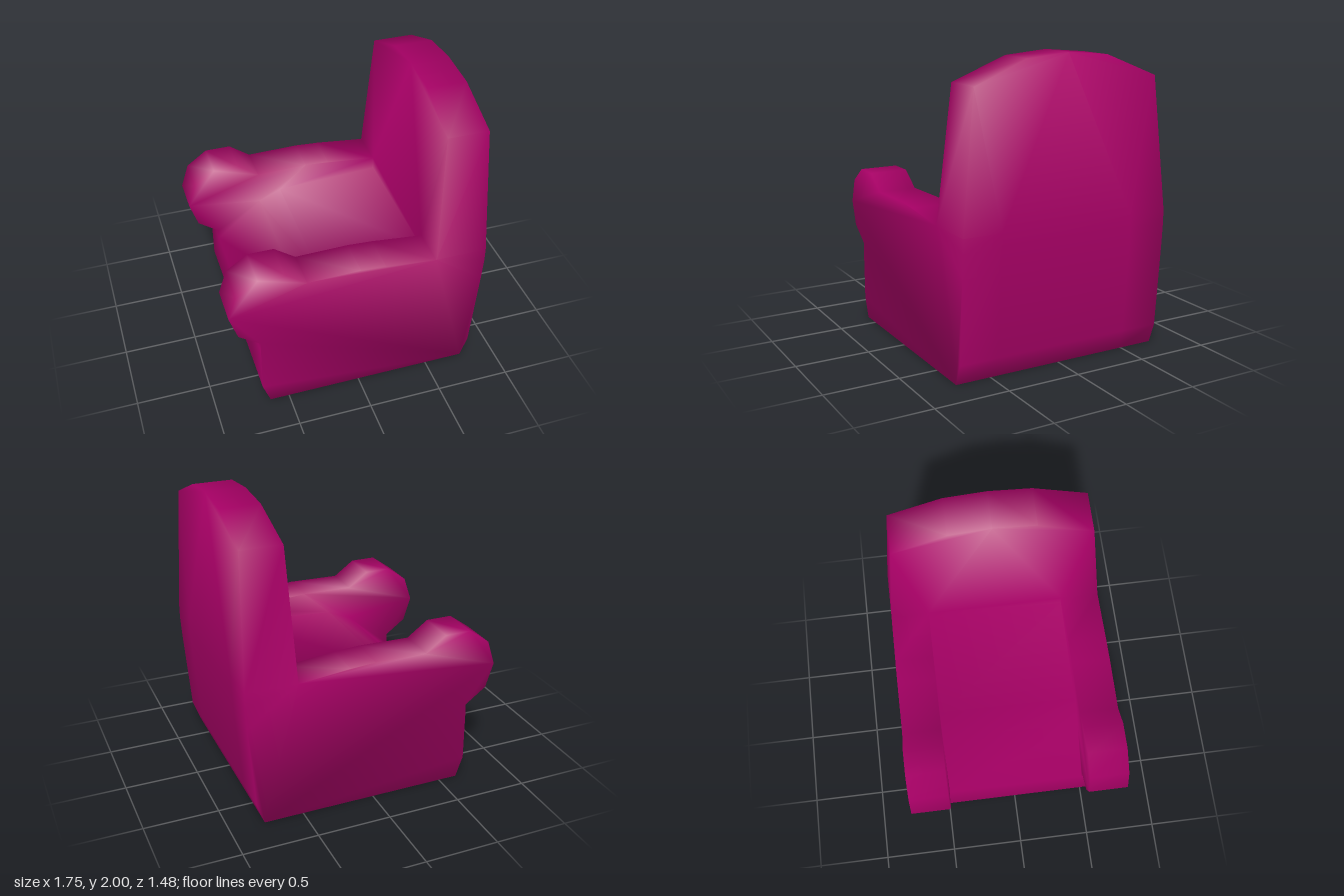
import * as THREE from 'three';
import { mergeVertices } from 'three/addons/utils/BufferGeometryUtils.js';

const ARM_IN = 0.475, ARM_OUT = 0.74;

// Side profiles as [x, y]; the chair faces -x
const rearAndBase = [[0.87, 0.86], [0.86, 0.7], [0.815, 0.14], [0.765, 0], [-0.63, 0], [-0.68, 0.14], [-0.68, 0.48]];
const seatTop = [[-0.36, 0.75], [-0.2, 0.82], [0.52, 0.86]];
// Ten-sided scroll at the front of the arm, then the arm's top edge
const scroll = [];
for (let i = 0; i < 7; i++) {
  const a = Math.PI * (1.4 - i * 0.2);
  scroll.push([-0.59 + 0.285 * Math.cos(a), 0.822 + 0.285 * Math.sin(a)]);
}
const armTop = [...scroll, [0, 0.997], [0.17, 0.987], [0.52, 0.95]];

// Backrest outline as [z, y]
const crown = [[0.74, 0.95], [0.65, 1.83], [0.285, 1.975], [0, 2],
  [-0.285, 1.975], [-0.65, 1.83], [-0.74, 0.95]];

// Soft normals, each face weighted by its corner angle
function softenNormals(geometry) {
  const pos = geometry.attributes.position, index = geometry.index;
  const sums = Array.from({ length: pos.count }, () => new THREE.Vector3());
  for (let i = 0; i < index.count; i += 3) {
    const ids = [0, 1, 2].map(k => index.getX(i + k));
    const pts = ids.map(id => new THREE.Vector3().fromBufferAttribute(pos, id));
    const normal = new THREE.Triangle(...pts).getNormal(new THREE.Vector3());
    ids.forEach((id, k) => {
      const u = pts[(k + 1) % 3].clone().sub(pts[k]);
      const v = pts[(k + 2) % 3].clone().sub(pts[k]);
      sums[id].addScaledVector(normal, u.angleTo(v));
    });
  }
  const normals = sums.flatMap(n => n.normalize().toArray());
  geometry.setAttribute('normal', new THREE.Float32BufferAttribute(normals, 3));
}

export function createModel() {
  const parts = [];
  const positions = [];

  const tri = (a, b, c) => positions.push(...a, ...b, ...c);
  const quad = (a, b, c, d) => { tri(a, b, c); tri(a, c, d); };

  // Flat outline, with each 2D point placed in space by a rule
  const face = (outline, place, flip) => {
    const shape = new THREE.Shape(outline.map(([u, v]) => new THREE.Vector2(u, v)));
    const g = new THREE.ShapeGeometry(shape).toNonIndexed();
    const p = g.attributes.position;
    for (let i = 0; i < p.count; i += 3) {
      const [a, b, c] = [0, 1, 2].map(k => place(p.getX(i + k), p.getY(i + k)));
      flip ? tri(a, c, b) : tri(a, b, c);
    }
  };

  // Profile carried across from z0 to z1
  const band = (profile, z0, z1) => {
    for (let i = 0; i < profile.length - 1; i++) {
      const p = profile[i], q = profile[i + 1];
      quad([...p, z0], [...p, z1], [...q, z1], [...q, z0]);
    }
  };

  const part = (name, build) => {
    const start = positions.length / 3;
    build();
    parts.push({ name, start, end: positions.length / 3 });
  };

  // Seat and base between the arms
  part('seat', () => band([...rearAndBase, ...seatTop], -ARM_IN, ARM_IN));

  // Scrolled arms
  const armProfile = [[0.87, 0.95], ...rearAndBase, ...armTop];
  const innerFace = [...armTop, ...seatTop.slice().reverse(), [-0.68, 0.48]];
  for (const s of [1, -1]) {
    part(s > 0 ? 'leftArm' : 'rightArm', () => {
      band(armProfile, s > 0 ? ARM_IN : -ARM_OUT, s > 0 ? ARM_OUT : -ARM_IN);
      face(armProfile, (x, y) => [x, y, s * ARM_OUT], s < 0);
      face(innerFace, (x, y) => [x, y, s * ARM_IN], s > 0);
    });
  }

  // Tapered backrest with a faceted crown
  part('backrest', () => {
    const rise = y => Math.max(0, (y - 0.95) / 1.05);
    const front = (z, y) => [0.52 + 0.055 * rise(y), y, z];
    const rear = (z, y) => [0.87 - 0.03 * rise(y), y, z];
    const outline = [...crown, [-ARM_IN, 0.95], [-ARM_IN, 0.86], [ARM_IN, 0.86], [ARM_IN, 0.95]];
    face(outline, front, false);
    face(outline, rear, true);
    for (let i = 0; i < crown.length - 1; i++) {
      const p = crown[i], q = crown[i + 1];
      quad(front(...p), rear(...p), rear(...q), front(...q));
    }
  });

  // Weld everything for soft shading across the seams, then split into parts
  let whole = new THREE.BufferGeometry();
  whole.setAttribute('position', new THREE.Float32BufferAttribute(positions, 3));
  whole = mergeVertices(whole, 1e-4);
  softenNormals(whole);
  whole = whole.toNonIndexed();

  const material = new THREE.MeshStandardMaterial({ color: 0xa80066 });
  const group = new THREE.Group();
  group.name = 'armchair';
  for (const { name, start, end } of parts) {
    const g = new THREE.BufferGeometry();
    for (const key of ['position', 'normal']) {
      const data = whole.attributes[key].array.slice(start * 3, end * 3);
      g.setAttribute(key, new THREE.BufferAttribute(data, 3));
    }
    const mesh = new THREE.Mesh(g, material);
    mesh.name = name;
    group.add(mesh);
  }
  return group;
}
